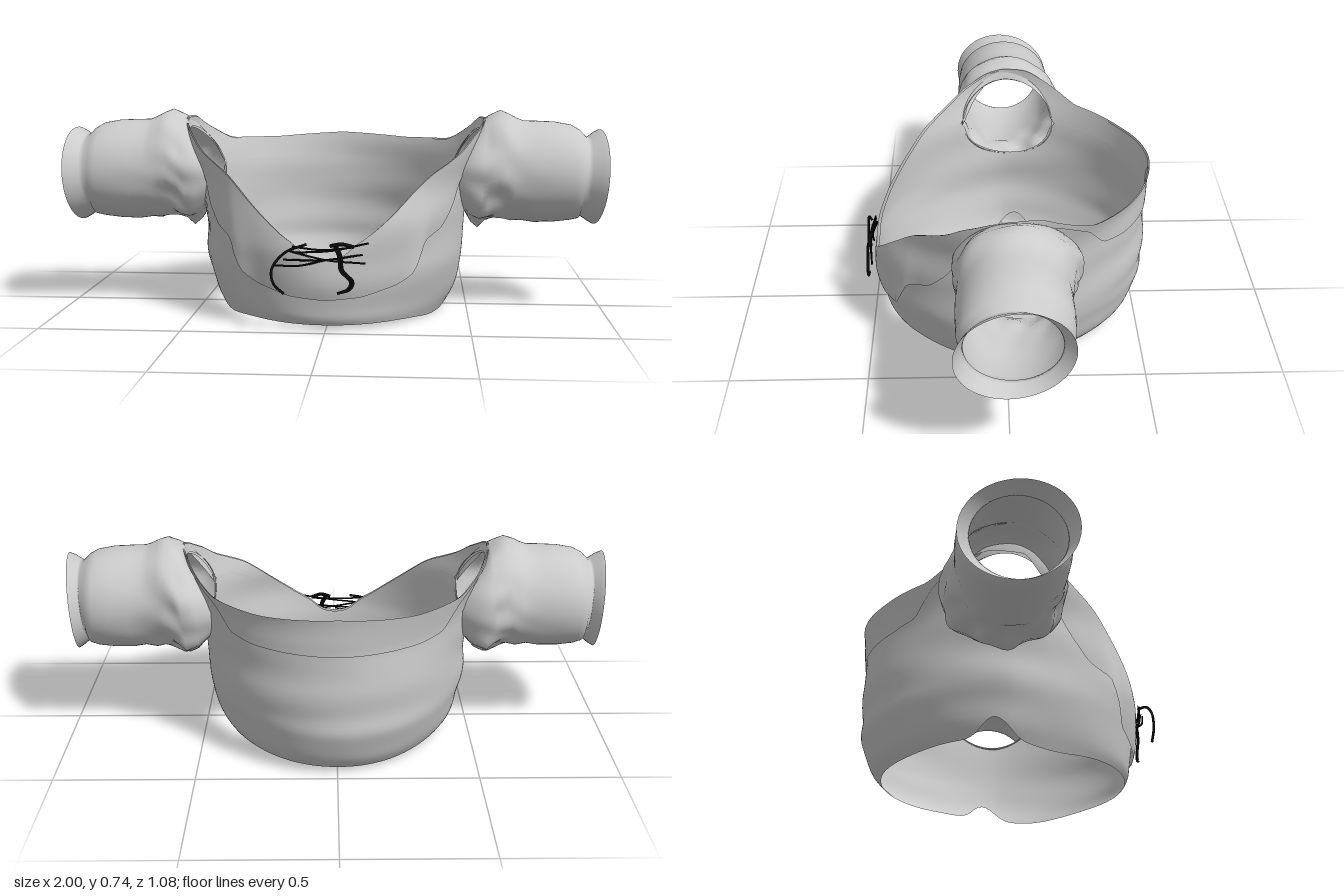
import * as THREE from 'three';

const cloth = new THREE.MeshStandardMaterial({ color: 0xcbcbcb, side: THREE.DoubleSide });
cloth.name = 'light grey cloth';
const cord = new THREE.MeshStandardMaterial({ color: 0x0c0c0e });
cord.name = 'black cord';

// Value at k from a list of [key, value] pairs
function lookup(table, k) {
  if (k <= table[0][0]) return table[0][1];
  for (let i = 1; i < table.length; i++) {
    const [k0, v0] = table[i - 1], [k1, v1] = table[i];
    if (k <= k1) return v0 + (v1 - v0) * (k - k0) / (k1 - k0);
  }
  return table[table.length - 1][1];
}
const soft = (table, k, w) =>
  (lookup(table, k - w) + lookup(table, k - w / 2) + 2 * lookup(table, k) + lookup(table, k + w / 2) + lookup(table, k + w)) / 6;

// Closed loops of points joined into a smooth skin
function loft(name, rows) {
  const n = rows[0].length, pos = [], idx = [];
  for (const row of rows) for (const p of row) pos.push(p.x, p.y, p.z);
  for (let r = 0; r < rows.length - 1; r++) {
    for (let c = 0; c < n; c++) {
      const a = r * n + c, b = r * n + (c + 1) % n;
      idx.push(a, b, b + n, a, b + n, a + n);
    }
  }
  const g = new THREE.BufferGeometry();
  g.setAttribute('position', new THREE.Float32BufferAttribute(pos, 3));
  g.setIndex(idx);
  g.computeVertexNormals();
  const m = new THREE.Mesh(g, cloth);
  m.name = name;
  return m;
}

// Body outline by height: half width, front depth, back depth
const WIDTH = [[0, 0.41], [0.05, 0.445], [0.1, 0.465], [0.2, 0.478], [0.3, 0.485], [0.5, 0.505], [0.7, 0.56]];
const FRONT = [[0, 0.43], [0.03, 0.46], [0.12, 0.47], [0.2, 0.48], [0.28, 0.49], [0.5, 0.47], [0.7, 0.45]];
const BACK = [[0, 0.43], [0.05, 0.475], [0.1, 0.495], [0.18, 0.532], [0.24, 0.522], [0.33, 0.53], [0.48, 0.515], [0.62, 0.535]];
// Edges by angle in degrees from the front
const NECK = [[0, 0.245], [7, 0.255], [13, 0.31], [16, 0.32], [30, 0.42], [45, 0.53], [61, 0.6], [67, 0.64], [80, 0.69], [90, 0.705],
  [104, 0.705], [116, 0.65], [126, 0.603], [150, 0.595], [180, 0.61]];
const COLLAR = [[0, 0.11], [15, 0.12], [30, 0.155], [36, 0.19], [40, 0.25], [42, 0.3], [53, 0.335], [61, 0.41], [73, 0.585],
  [82, 0.665], [104, 0.675], [114, 0.64], [125, 0.58], [133, 0.495], [145, 0.48], [180, 0.475]];
const HOLE = { y: 0.515, z: -0.025, ry: 0.15, rz: 0.175 };
const COLS = 180, DEG = 180 / Math.PI;
// Plan is round at front and back and drawn out towards the sides, most at the hem
const sidePower = y => 1.72 - 0.2 * Math.max(0, 1 - y / 0.2);
const fold = deg => { const d = ((deg % 360) + 360) % 360; return d > 180 ? 360 - d : d; };

function surface(a, y, out = 0) {
  const s = Math.sin(a), c = Math.cos(a);
  const crease = 0.0025 * Math.sin(31 * y + 2 * c + 1) * (1 + Math.sin(3 * a)) + 0.002 * Math.sin(17 * y + 4 * Math.abs(s));
  const w = soft(WIDTH, y, 0.03) + crease + out;
  const d = soft(c > 0 ? FRONT : BACK, y, 0.02) + crease + out;
  return new THREE.Vector3(w * s, y, d * Math.sign(c) * Math.abs(c) ** (2 / sidePower(y)));
}
const neckY = a => soft(NECK, fold(a * DEG), 3);
const hemY = a => {
  const z = surface(a, 0.05).z;
  return 0.016 + 0.012 * Math.exp(-(((z + 0.2) / 0.15) ** 2)) - 0.016 * Math.exp(-(((z - 0.17) / 0.12) ** 2))
    + 0.07 * Math.exp(-(((z + 0.05) / 0.06) ** 2));
};
// Lower and upper rim of the armhole at an angle
function armRim(a) {
  const t = neckY(a), u = (surface(a, HOLE.y).z - HOLE.z) / HOLE.rz;
  const half = Math.abs(u) < 1 ? HOLE.ry * Math.sqrt(1 - u * u) : 0;
  const mid = Math.min(HOLE.y, t - 0.06);
  return [mid - half, Math.min(mid + half, t - 0.015)];
}
function band(name, low, high, steps, out) {
  const rows = [];
  for (let r = 0; r <= steps; r++) {
    const row = [];
    for (let i = 0; i < COLS; i++) {
      const a = (i / COLS) * Math.PI * 2, l = low(a), h = high(a);
      row.push(surface(a, l + (h - l) * r / steps, out(a, r / steps)));
    }
    rows.push(row);
  }
  return loft(name, rows);
}

// Sleeve rings: x, centre y, centre z, radius y, radius z, crumple
const SLEEVE = [
  [0.56, 0.505, -0.035, 0.2, 0.218, 0.006], [0.585, 0.518, -0.03, 0.2, 0.212, 0.007],
  [0.62, 0.532, -0.025, 0.202, 0.205, 0.005], [0.65, 0.527, -0.02, 0.195, 0.197, 0.003],
  [0.68, 0.515, -0.018, 0.192, 0.192, 0.002], [0.705, 0.512, -0.015, 0.186, 0.188, 0.001],
  [0.75, 0.508, -0.015, 0.189, 0.19, 0.001], [0.82, 0.507, -0.016, 0.187, 0.191, 0],
  [0.88, 0.505, -0.016, 0.178, 0.188, 0], [0.91, 0.5, -0.012, 0.166, 0.176, 0],
  [0.925, 0.492, -0.006, 0.146, 0.156, 0], [0.935, 0.491, -0.006, 0.15, 0.16, 0],
  [0.957, 0.491, -0.008, 0.166, 0.18, 0], [0.977, 0.49, -0.01, 0.176, 0.192, 0]];

function sleeve(side, name) {
  const n = 72, rows = [];
  const ring = f => Array.from({ length: n }, (_, i) => {
    const p = f(-side * i / n * Math.PI * 2);
    p.x *= side;
    return p;
  });
  // first ring lies on the body around the armhole
  const base = ring(q => {
    const y = HOLE.y + (HOLE.ry + 0.005) * Math.sin(q), z = HOLE.z + (HOLE.rz + 0.005) * Math.cos(q);
    const d = soft(z > 0 ? FRONT : BACK, y, 0.02);
    const x = soft(WIDTH, y, 0.03) * Math.sqrt(1 - Math.abs(z / d) ** sidePower(y));
    return new THREE.Vector3(x - 0.004, y, z);
  });
  rows.push(base);
  SLEEVE.forEach(([x, cy, cz, ry, rz, k], j) => {
    rows.push(ring(q => {
      const under = 0.5 - 0.5 * Math.sin(q);
      const w = k * (0.4 + 1.3 * under) * Math.sin(7 * q + j * 1.1) + k * under * Math.sin(12 * q - j);
      const flare = Math.max(0, j - 10) / 3;
      const tilt = j > 9 ? 0.012 * Math.sin(q) + 0.02 * flare * Math.cos(q) : -0.02 * under * (j < 5 ? 1 : 0);
      return new THREE.Vector3(x + tilt, cy + (ry + w) * Math.sin(q), cz + (rz + w) * Math.cos(q));
    }));
  });
  // halfway ring rounds the join into the body
  rows.splice(1, 0, base.map((p, i) => {
    const m = p.clone().lerp(rows[1][i], 0.5);
    m.y += (m.y - HOLE.y) * 0.06;
    m.z += (m.z - HOLE.z) * 0.08;
    return m;
  }));
  return loft(name, rows);
}

function lace(points, r) {
  const curve = new THREE.CatmullRomCurve3(points.map(p => new THREE.Vector3(...p)));
  return new THREE.Mesh(new THREE.TubeGeometry(curve, 28, r, 6), cord);
}

export function createModel() {
  const model = new THREE.Group();
  model.name = 'croppedBlouse';

  // Bodice below and above the armholes
  model.add(band('lowerBodice', hemY, a => armRim(a)[0], 26, () => 0));
  model.add(band('upperBodice', a => armRim(a)[1], neckY, 8, () => 0));

  // Turned-over collar: the front lip stands away from the body at its two tips
  model.add(band('collar', a => soft(COLLAR, fold(a * DEG), 1.5), a => neckY(a) + 0.004, 12, (a, v) => {
    const front = Math.max(0, Math.cos(a));
    const tip = Math.exp(-(((fold(a * DEG) - 38) / 6) ** 2));
    return 0.005 + 0.012 * front * Math.sin(Math.PI * (0.15 + 0.7 * v)) + 0.022 * tip * (1 - v) ** 2;
  }));

  model.add(sleeve(1, 'leftSleeve'), sleeve(-1, 'rightSleeve'));

  // Lacing across the dip at the front of the neck
  const laces = new THREE.Group();
  laces.name = 'laces';
  for (const [x0, y0, x1, y1] of [[-0.11, 0.3, 0.1, 0.3], [-0.1, 0.28, 0.15, 0.315], [-0.14, 0.255, 0.13, 0.275],
    [-0.12, 0.285, 0.14, 0.245], [-0.17, 0.235, 0.0, 0.255]]) {
    laces.add(lace([[x0, y0, 0.498], [(x0 + x1) / 2, (y0 + y1) / 2 - 0.008, 0.51], [x1, y1, 0.498]], 0.0035));
  }
  // hanging ends
  laces.add(lace([[-0.06, 0.31, 0.505], [-0.13, 0.285, 0.525], [-0.175, 0.23, 0.535], [-0.17, 0.18, 0.537], [-0.135, 0.145, 0.535]], 0.005));
  for (const dx of [0, 0.009]) {
    laces.add(lace([[0.03 + dx, 0.312, 0.503], [0.05 + dx, 0.27, 0.518], [0.055 + dx, 0.225, 0.52], [0.09 + dx, 0.185, 0.52],
      [0.08 + dx, 0.16, 0.52], [0.045, 0.145, 0.52]], 0.005));
  }
  laces.add(lace([[0.02, 0.305, 0.503], [0.06, 0.312, 0.51], [0.1, 0.302, 0.503]], 0.007));
  model.add(laces);
  return model;
}
